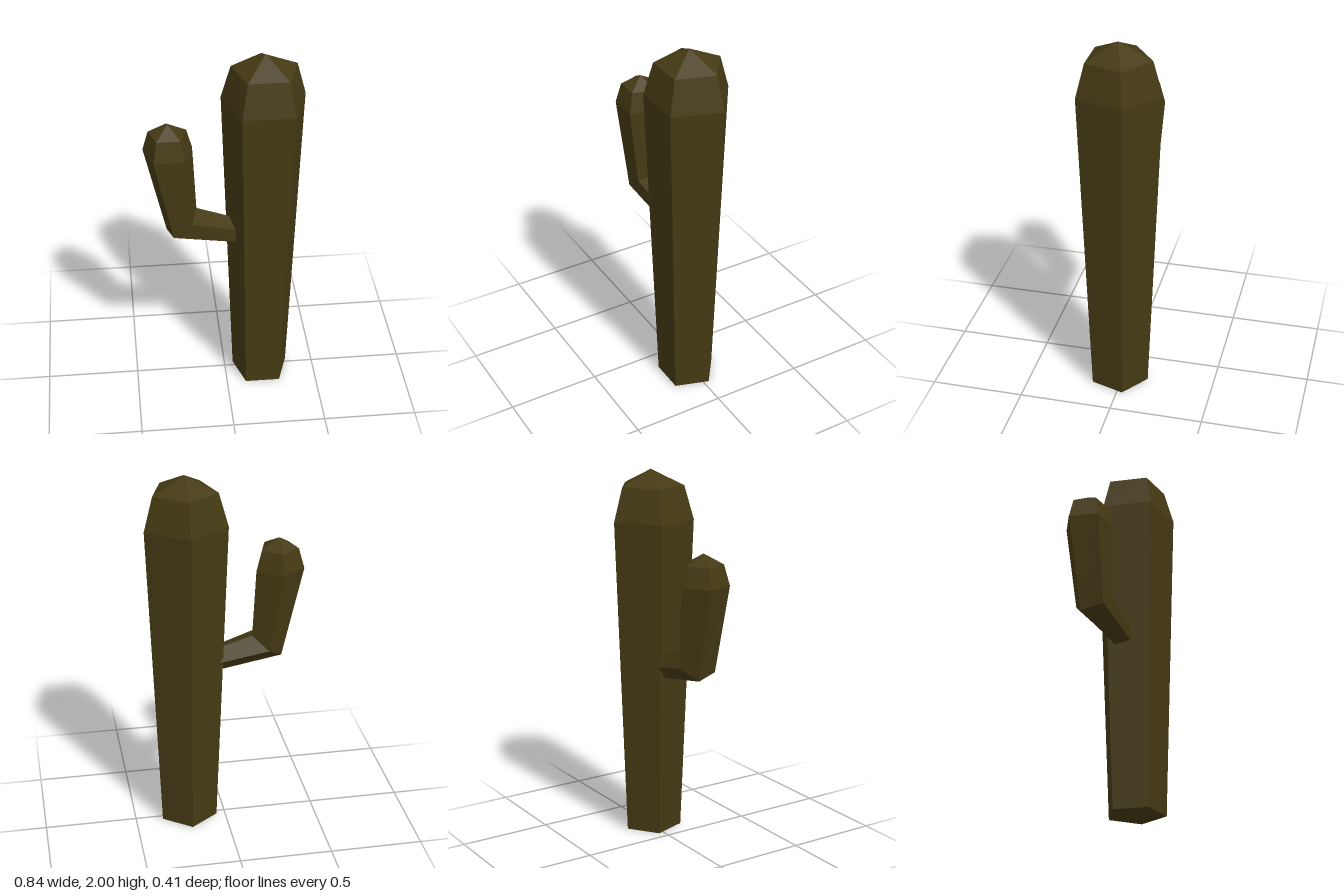
import * as THREE from 'three';

const SIDES = 5;
const CENTRE_Z = 0.02;

// Flat-shaded skin over five-sided rings [x, y, radius, tilt]; radius 0 closes an end.
function loft(rings) {
  const corner = ([x, y, r, tilt = 0], k) => {
    const a = (k / SIDES) * Math.PI * 2;
    const s = Math.sin(a) * r;
    return [x + s * Math.cos(tilt), y + s * Math.sin(tilt), CENTRE_Z - Math.cos(a) * r];
  };
  const pos = [];
  for (let i = 0; i < rings.length - 1; i++) {
    const lo = rings[i], hi = rings[i + 1];
    for (let k = 0; k < SIDES; k++) {
      if (lo[2] > 0) pos.push(...corner(lo, k + 1), ...corner(lo, k), ...corner(hi, k));
      if (hi[2] > 0) pos.push(...corner(lo, k + 1), ...corner(hi, k), ...corner(hi, k + 1));
    }
  }
  const geometry = new THREE.BufferGeometry();
  geometry.setAttribute('position', new THREE.Float32BufferAttribute(pos, 3));
  geometry.computeVertexNormals();
  return geometry;
}

export function createModel() {
  const group = new THREE.Group();
  group.name = 'cactus';
  const material = new THREE.MeshStandardMaterial({ color: 0x453a14, flatShading: true });

  const add = (name, rings) => {
    const mesh = new THREE.Mesh(loft(rings), material);
    mesh.name = name;
    group.add(mesh);
  };

  // Trunk: widens upward, then closes in a faceted crown
  add('trunk', [
    [0.2, 0, 0],
    [0.2, 0, 0.16],
    [0.2, 1.735, 0.228],
    [0.2, 1.915, 0.177],
    [0.2, 2, 0],
  ]);

  // Arm: leaves the trunk sideways, bends at a mitred elbow and rises to its own crown
  add('arm', [
    [0.09, 0.95, 0, Math.PI / 2],
    [0.09, 0.95, 0.066, Math.PI / 2],
    [-0.23, 1.028, 0.107, 0.665],
    [-0.295, 1.465, 0.134],
    [-0.295, 1.575, 0.103],
    [-0.295, 1.63, 0],
  ]);

  return group;
}
